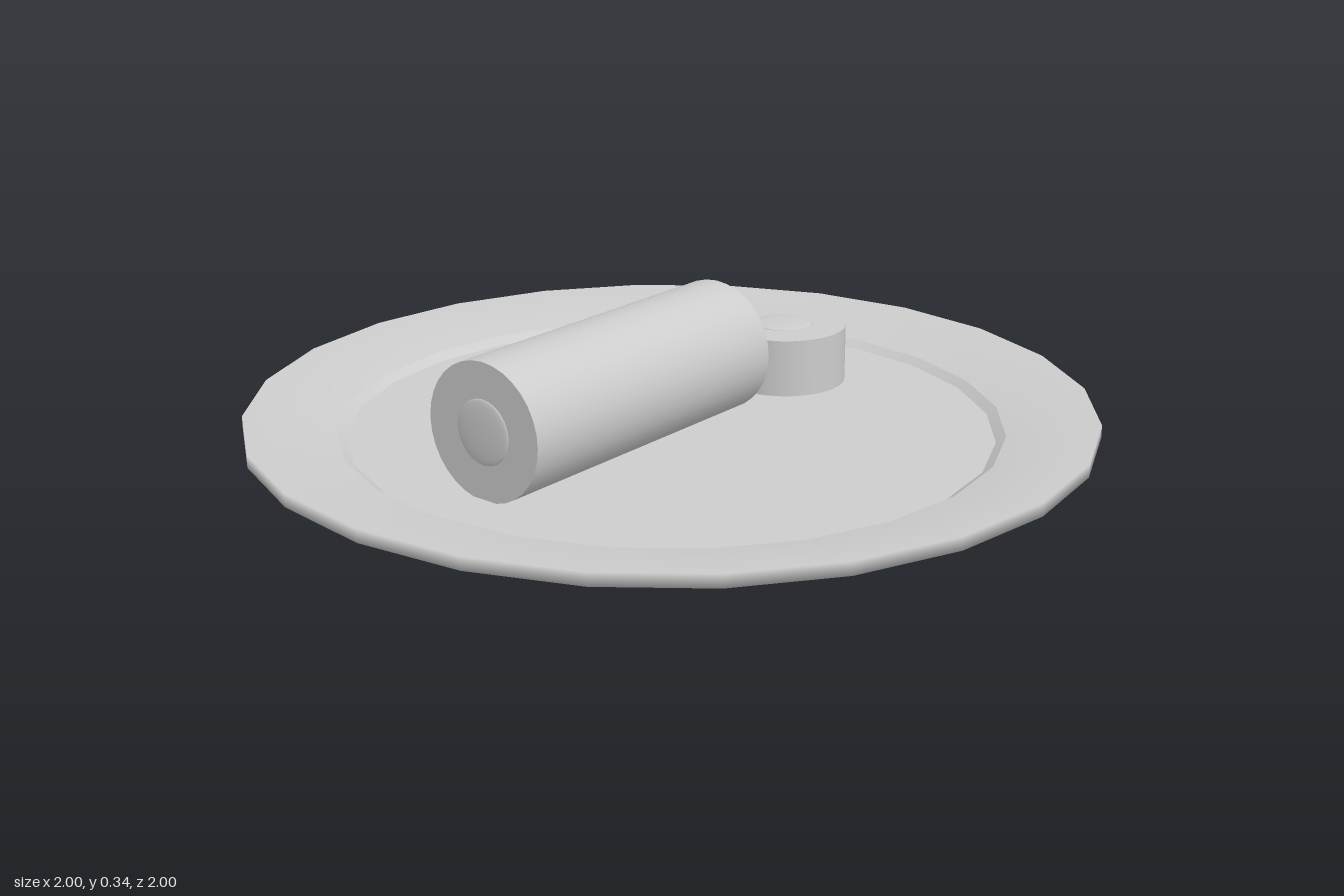
import * as THREE from 'three';

export function createModel() {
  const model = new THREE.Group();
  const grey = new THREE.MeshStandardMaterial({ color: 0xcccccc });
  grey.name = 'plain grey';

  function add(parent, name, geometry, x = 0, y = 0, z = 0) {
    const mesh = new THREE.Mesh(geometry, grey);
    mesh.name = name;
    mesh.position.set(x, y, z);
    parent.add(mesh);
    return mesh;
  }
  const lathe = (points) =>
    new THREE.LatheGeometry(points.map(([r, y]) => new THREE.Vector2(r, y)), 24);

  // Plate: profiles run from the underside, around the lip, to the floor
  const plate = new THREE.Group();
  plate.name = 'plate';
  model.add(plate);
  add(plate, 'plateFoot', lathe([[0, 0], [0.775, 0], [0.8, 0.022]]));
  add(plate, 'plateRim', lathe([[0.8, 0.022], [1, 0.055], [1, 0.086], [0.785, 0.046]]));
  add(plate, 'plateStep', lathe([[0.785, 0.046], [0.762, 0.03]]));
  add(plate, 'plateFloor', lathe([[0.762, 0.03], [0, 0.03]]));

  // A roll standing on its end, with a shallow domed filling on the chosen ends
  function roll(name, radius, height, fillRadius, ends) {
    const group = new THREE.Group();
    group.name = name;
    add(group, name + 'Wrap', new THREE.CylinderGeometry(radius, radius, height, 32));
    for (const end of ends) {
      const dome = add(group, name + 'Filling',
        new THREE.SphereGeometry(fillRadius, 24, 8, 0, Math.PI * 2, 0, Math.PI / 2),
        0, end * height / 2, 0);
      dome.scale.y = 0.09;
      if (end < 0) dome.rotation.x = Math.PI;
    }
    model.add(group);
    return group;
  }

  // Long roll lying along x
  const longRoll = roll('longRoll', 0.159, 0.803, 0.075, [1, -1]);
  longRoll.rotation.z = -Math.PI / 2;
  longRoll.position.set(-0.224, 0.185, -0.006);

  // Cut slice standing beside it
  const slice = roll('slice', 0.156, 0.145, 0.072, [1]);
  slice.position.set(0.455, 0.0995, -0.008);

  return model;
}
